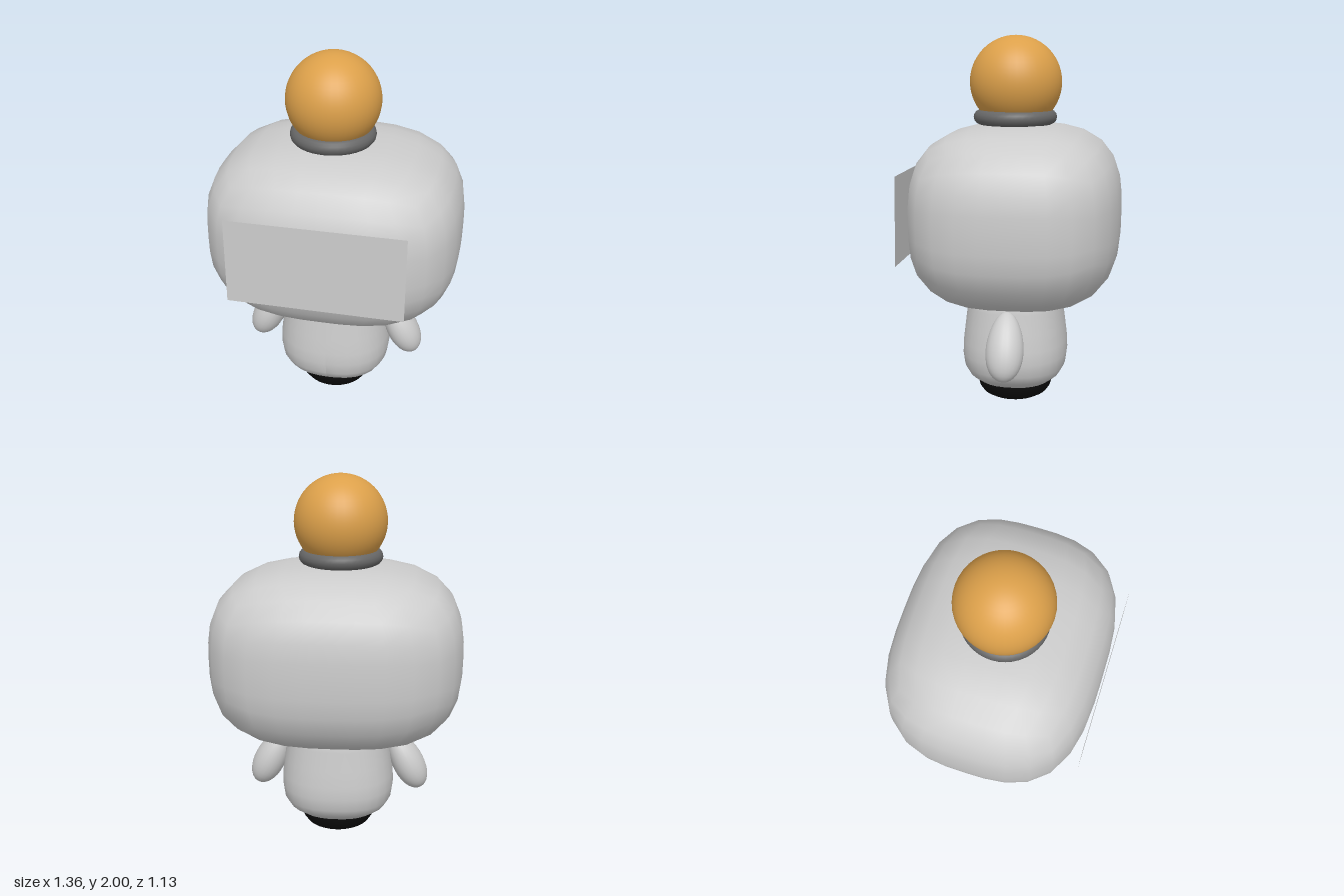
import * as THREE from 'three';
import { mergeVertices } from 'three/addons/utils/BufferGeometryUtils.js';

const paint = (name, color, side = THREE.FrontSide) => {
  const m = new THREE.MeshStandardMaterial({ color, side });
  m.name = name;
  return m;
};

// Boxy rounded solid: grid cube pushed onto a superellipsoid
function roundedBlock(a, b, c, power, segments) {
  let geo = new THREE.BoxGeometry(2, 2, 2, segments, segments, segments);
  geo.deleteAttribute('uv');
  geo.deleteAttribute('normal');
  geo = mergeVertices(geo);
  const p = geo.attributes.position;
  const v = new THREE.Vector3();
  for (let i = 0; i < p.count; i++) {
    v.fromBufferAttribute(p, i);
    // Even out the angular spacing of the grid
    v.set(...v.toArray().map((t) => Math.tan(t * Math.PI / 4)));
    const len = v.toArray().reduce((s, t) => s + Math.abs(t) ** power, 0) ** (1 / power);
    v.divideScalar(len);
    p.setXYZ(i, v.x * a, v.y * b, v.z * c);
  }
  geo.computeVertexNormals();
  return geo;
}

// Smooth turned solid from [radius, height] points, bottom to top
function turned(points, segments) {
  return new THREE.LatheGeometry(points.map(([r, y]) => new THREE.Vector2(r, y)), segments);
}

export function createModel() {
  const group = new THREE.Group();
  const shell = paint('light grey', 0xcccccc);
  const panel = paint('panel grey', 0xcccccc, THREE.DoubleSide);
  const collarGrey = paint('dark grey', 0x666666);
  const orange = paint('orange', 0xdca04a);
  const black = paint('black', 0x0a0a0a);

  const add = (name, geo, mat, x, y, z) => {
    const mesh = new THREE.Mesh(geo, mat);
    mesh.name = name;
    mesh.position.set(x, y, z);
    group.add(mesh);
    return mesh;
  };

  // Head and its flat face panel
  add('head', roundedBlock(0.68, 0.483, 0.56, 3, 8), shell, 0, 1.05, -0.01);
  const face = add('facePanel', new THREE.PlaneGeometry(0.915, 0.467), panel, 0, 1.065, 0.56);
  face.rotation.x = -0.02;

  // Ball on a collar
  add('ball', new THREE.SphereGeometry(0.247, 40, 28), orange, -0.017, 1.753, 0.006);
  const collar = add('collar', new THREE.TorusGeometry(0.185, 0.04, 14, 40), collarGrey, -0.018, 1.568, 0.01);
  collar.rotation.x = Math.PI / 2;

  // Body, slightly squared in plan
  const body = turned([[0, 0.09], [0.13, 0.095], [0.22, 0.11], [0.275, 0.15], [0.305, 0.2], [0.315, 0.27],
    [0.312, 0.34], [0.3, 0.43], [0.285, 0.54], [0.27, 0.66], [0, 0.68]], 32);
  const p = body.attributes.position;
  for (let i = 0; i < p.count; i++) {
    const x = p.getX(i), z = p.getZ(i), r = Math.hypot(x, z);
    if (r < 1e-6) continue;
    const k = (Math.abs(x / r) ** 2.4 + Math.abs(z / r) ** 2.4) ** (-1 / 2.4);
    p.setXYZ(i, x * k, p.getY(i), z * k * 0.92);
  }
  body.computeVertexNormals();
  add('body', body, shell, -0.004, 0, 0.006);

  // Arms: egg shapes, fuller at the hand
  for (const side of [-1, 1]) {
    const geo = new THREE.SphereGeometry(1, 24, 18);
    const q = geo.attributes.position;
    for (let i = 0; i < q.count; i++) {
      const y = q.getY(i), w = 1 - 0.16 * y;
      q.setXYZ(i, q.getX(i) * 0.088 * w, y * 0.185, q.getZ(i) * 0.099 * w);
    }
    geo.computeVertexNormals();
    const arm = add(side > 0 ? 'leftArm' : 'rightArm', geo, shell, side * 0.385 - 0.008, 0.402, 0.01);
    arm.rotation.z = side * 0.47;
  }

  // Foot: shallow round-bottomed base
  add('foot', turned([[0, 0], [0.1, 0.003], [0.145, 0.012], [0.18, 0.032], [0.2, 0.06], [0.208, 0.09],
    [0.208, 0.13], [0, 0.13]], 32), black, -0.003, 0, 0.01);

  return group;
}
